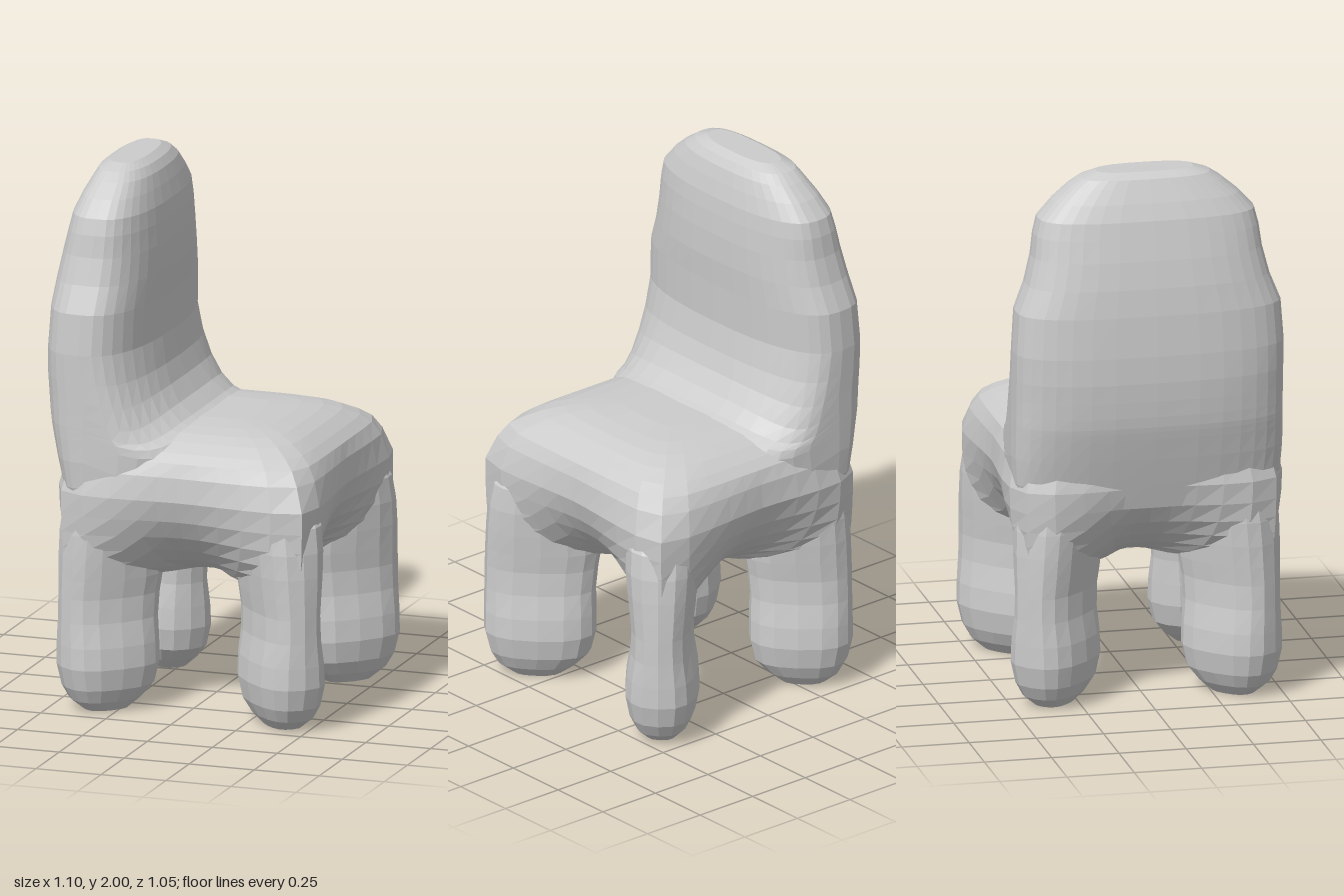
import * as THREE from 'three';

const material = new THREE.MeshStandardMaterial({ color: 0xcccccc, flatShading: true, roughness: 0.8 });

// Closed skin over a stack of horizontal rings; point(ring, angle) gives [x, y, z]
function loft(rings, sides, point) {
  const pos = [], index = [];
  for (const ring of rings) {
    for (let j = 0; j < sides; j++) pos.push(...point(ring, (j / sides) * Math.PI * 2));
  }
  for (let i = 0; i < rings.length - 1; i++) {
    for (let j = 0; j < sides; j++) {
      const k = (j + 1) % sides, a = i * sides + j, b = i * sides + k;
      index.push(a, a + sides, b, b, a + sides, b + sides);
    }
  }
  // caps
  for (const [start, top] of [[0, false], [(rings.length - 1) * sides, true]]) {
    const c = new THREE.Vector3();
    for (let j = 0; j < sides; j++) c.add(new THREE.Vector3().fromArray(pos, (start + j) * 3));
    c.divideScalar(sides);
    const centre = pos.length / 3;
    pos.push(c.x, c.y, c.z);
    for (let j = 0; j < sides; j++) {
      const a = start + j, b = start + (j + 1) % sides;
      index.push(centre, top ? b : a, top ? a : b);
    }
  }
  const g = new THREE.BufferGeometry();
  g.setAttribute('position', new THREE.Float32BufferAttribute(pos, 3));
  g.setIndex(index);
  g.computeVertexNormals();
  return g;
}

// Rounded section: |x|^n + |z|^n = 1
const soft = (v, n) => Math.sign(v) * Math.abs(v) ** (2 / n);

function part(name, geometry) {
  const mesh = new THREE.Mesh(geometry, material);
  mesh.name = name;
  return mesh;
}

// Seat: rounded square block, softer at the back corners; arches are carved
// into its sides low down, leaving the corners to run into the legs.
// y, half size, squareness, carve depth, carve sharpness
function seatGeometry() {
  const rings = [
    [0.5, 0.46, 8, 0.72, 6], [0.53, 0.49, 10, 0.55, 4.4], [0.57, 0.5, 11, 0.4, 3.5],
    [0.62, 0.505, 12, 0.28, 2.9], [0.68, 0.508, 12, 0.18, 2.4], [0.75, 0.51, 12, 0.1, 2],
    [0.83, 0.51, 12, 0.05, 1.6], [0.92, 0.487, 9, 0.02, 1], [0.97, 0.46, 8, 0, 1],
    [1.0, 0.425, 7, 0, 1], [1.03, 0.375, 6, 0, 1], [1.05, 0.32, 5, 0, 1],
    [1.062, 0.25, 5, 0, 1], [1.07, 0.15, 5, 0, 1],
  ];
  return loft(rings, 40, ([y, half, sharp, carve, p], t) => {
    const c = Math.cos(t), s = Math.sin(t);
    const n = c < 0 ? Math.min(sharp, 6) : sharp;
    const square = half * (Math.abs(c) ** n + Math.abs(s) ** n) ** (-1 / n);
    const r = square * (1 - carve * (1 - Math.abs(Math.sin(2 * t)) ** p));
    return [0.02 + r * c, y, r * s * 1.02];
  });
}

// Backrest: flares forward into the seat, rounded crown.
// y, back x, front x, half width
function backrestGeometry() {
  const rings = [
    [0.75, -0.45, -0.1, 0.46], [0.85, -0.478, -0.05, 0.493], [0.95, -0.505, 0.02, 0.5],
    [1.03, -0.525, 0.05, 0.5], [1.06, -0.532, 0.02, 0.5], [1.08, -0.536, -0.03, 0.5],
    [1.12, -0.541, -0.08, 0.5], [1.18, -0.546, -0.12, 0.5], [1.25, -0.55, -0.145, 0.5],
    [1.35, -0.548, -0.163, 0.5], [1.5, -0.538, -0.16, 0.49], [1.6, -0.525, -0.155, 0.45],
    [1.7, -0.505, -0.157, 0.425], [1.78, -0.485, -0.163, 0.415], [1.84, -0.47, -0.17, 0.4],
    [1.9, -0.445, -0.185, 0.345], [1.95, -0.42, -0.2, 0.285], [1.98, -0.405, -0.22, 0.24],
    [2.0, -0.37, -0.25, 0.18],
  ];
  return loft(rings, 36, ([y, back, front, half], t) => {
    // low down the front is squarer and droops at the sides to follow the seat edge
    const low = THREE.MathUtils.clamp((1.3 - y) / 0.2, 0, 1);
    const middle = THREE.MathUtils.lerp((back + front) / 2, -0.34, low);
    const c = Math.cos(t), n = c > 0 ? 2.5 + 0.9 * low : 3;
    const u = soft(c, n), v = soft(Math.sin(t), n);
    const droop = 0.11 * low * Math.max(0, u) * v ** 4;
    return [middle + u * (c > 0 ? front - middle : middle - back), y - droop, v * half];
  });
}

// Leg: long axis points outward along the diagonal.
// y, outward shift, half length, half thickness
function legGeometry() {
  const rings = [
    [0, 0.01, 0.09, 0.06], [0.04, 0.01, 0.145, 0.095], [0.09, 0, 0.185, 0.12],
    [0.17, 0, 0.205, 0.135], [0.25, 0, 0.205, 0.13], [0.34, 0, 0.203, 0.115],
    [0.43, -0.005, 0.207, 0.112], [0.5, -0.012, 0.212, 0.12], [0.58, -0.01, 0.207, 0.128],
    [0.67, -0.01, 0.2, 0.135], [0.76, -0.015, 0.188, 0.135], [0.84, -0.04, 0.15, 0.11],
  ];
  return loft(rings, 16, ([y, shift, a, b], t) => [
    shift + soft(Math.cos(t), 2.5) * a, y, soft(Math.sin(t), 2.5) * b,
  ]);
}

export function createModel() {
  const chair = new THREE.Group();
  chair.name = 'chair';
  chair.add(part('seat', seatGeometry()), part('backrest', backrestGeometry()));

  // Four legs, turned to face their own corner; the back pair is a little slimmer
  const leg = legGeometry();
  for (const [name, x, z, sx, slim] of [['frontLeg', 0.368, 0.341, 1, 1], ['backLeg', -0.303, 0.327, -1, 0.92]]) {
    for (const sz of [1, -1]) {
      const mesh = part(name, leg);
      mesh.position.set(x, 0, z * sz);
      mesh.rotation.y = -Math.atan2(sz, sx);
      mesh.scale.x = slim;
      chair.add(mesh);
    }
  }
  return chair;
}
